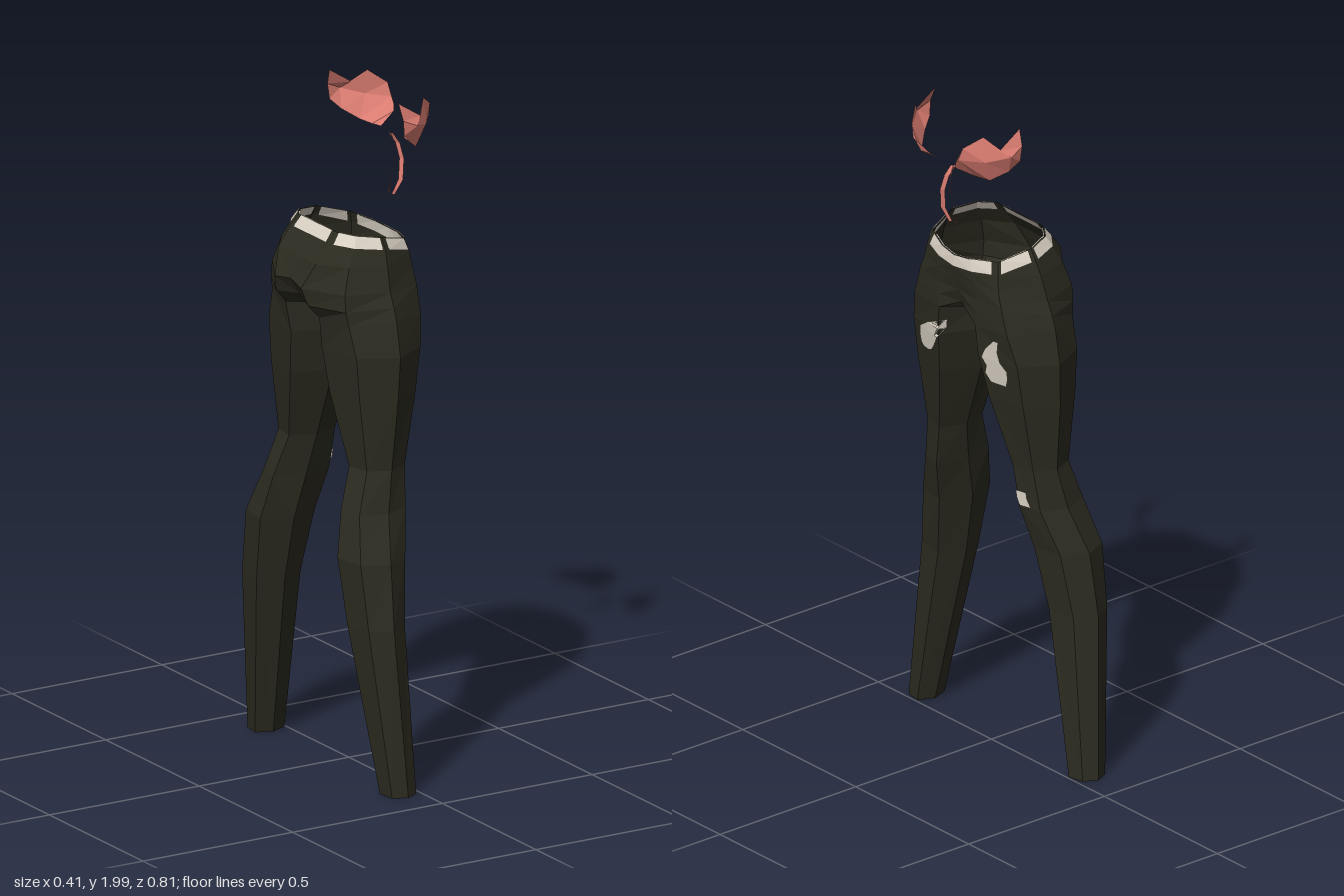
import * as THREE from 'three';

const mat = (name, color) => {
  const m = new THREE.MeshStandardMaterial({ color, side: THREE.DoubleSide, flatShading: true });
  m.name = name;
  return m;
};

// Faceted sheet from rows of [x, y, z] points; side -1 mirrors it across z.
function sheet(name, rows, material, side = 1) {
  const pos = [];
  const put = (...pts) => {
    if (side < 0) pts.reverse();
    pts.forEach(([x, y, z]) => pos.push(x, y, z * side));
  };
  for (let i = 0; i < rows.length - 1; i++) {
    for (let j = 0; j < rows[i].length - 1; j++) {
      const a = rows[i][j], b = rows[i][j + 1], c = rows[i + 1][j + 1], d = rows[i + 1][j];
      put(a, b, c);
      put(a, c, d);
    }
  }
  const g = new THREE.BufferGeometry();
  g.setAttribute('position', new THREE.Float32BufferAttribute(pos, 3));
  g.computeVertexNormals();
  const mesh = new THREE.Mesh(g, material);
  mesh.name = name;
  return mesh;
}

const mix = (a, b, t) => a.map((v, i) => v + (b[i] - v) * t);

// Half pelvis rings, front centre round to back centre, top to bottom
const pelvis = [
  [[.135, 1.565, 0], [.127, 1.57, .06], [.095, 1.58, .145], [0, 1.605, .175], [-.07, 1.615, .15], [-.105, 1.62, .1], [-.105, 1.62, 0]],
  [[.138, 1.53, 0], [.132, 1.535, .07], [.105, 1.545, .155], [0, 1.575, .195], [-.085, 1.585, .165], [-.128, 1.59, .105], [-.128, 1.59, 0]],
  [[.132, 1.5, 0], [.13, 1.5, .08], [.11, 1.5, .163], [-.005, 1.53, .215], [-.112, 1.535, .18], [-.172, 1.535, .1], [-.17, 1.535, 0]],
  [[.122, 1.45, 0], [.125, 1.45, .085], [.114, 1.45, .18], [-.01, 1.46, .238], [-.135, 1.46, .195], [-.204, 1.46, .07], [-.195, 1.47, 0]],
  [[.11, 1.41, 0], [.127, 1.41, .085], [.113, 1.41, .192], [-.01, 1.42, .258], [-.135, 1.41, .2], [-.19, 1.41, .085], [-.165, 1.42, 0]],
  [[.095, 1.39, 0], [.127, 1.37, .08], [.112, 1.37, .205], [-.01, 1.38, .272], [-.128, 1.37, .205], [-.155, 1.37, .09], [-.12, 1.385, 0]],
];
const hem = pelvis[5];
const innerThigh = [-.01, 1.37, .03];

// Leg ring: front inner, front outer, outer, back outer, back inner, inner
function legRing([y, front, back, outer, inner]) {
  const w = outer - inner, d = front - back, mid = (front + back) / 2;
  return [
    [front, y, inner + .22 * w], [front - .1 * d, y, outer - .24 * w], [mid, y, outer],
    [back + .08 * d, y, outer - .22 * w], [back, y, inner + .2 * w], [mid, y, inner],
  ];
}
const leg = [
  [...hem.slice(1, 6), innerThigh],
  ...[
    [1.28, .122, -.142, .292, .03],
    [1.15, .1, -.13, .287, .06],
    [.94, .056, -.1, .265, .135],
    [.82, .05, -.14, .285, .155],
    [.69, .017, -.167, .345, .172],
    [.5, -.008, -.157, .375, .21],
    [.01, -.006, -.105, .407, .315],
  ].map(legRing),
];

// x of the front of the leg at a given height and z
function frontX(y, z) {
  let i = 0;
  while (i < leg.length - 2 && leg[i + 1][0][1] > y) i++;
  const t = (leg[i][0][1] - y) / (leg[i][0][1] - leg[i + 1][0][1]);
  const p = [5, 0, 1, 2].map(k => mix(leg[i][k], leg[i + 1][k], t));
  let k = 0;
  while (k < 2 && p[k + 1][2] < z) k++;
  const u = (z - p[k][2]) / (p[k + 1][2] - p[k][2]);
  return p[k][0] + (p[k + 1][0] - p[k][0]) * u;
}

// Worn patch lying on the leg front, from rows of [y, inner z, outer z]
function patch(name, rows, material, side) {
  const pts = rows.map(([y, z0, z1]) => Array.from({ length: 7 }, (_, j) => {
    const z = z0 + (z1 - z0) * j / 6;
    return [frontX(y, z) + .006, y, z];
  }));
  return sheet(name, pts, material, side);
}

// Point on a waist ring at fractional column t
const along = (ring, t) => {
  const k = Math.min(Math.floor(t), ring.length - 2);
  return mix(ring[k], ring[k + 1], t - k);
};

export function createModel() {
  const model = new THREE.Group();
  model.name = 'trousersAndTop';
  const cloth = mat('dark olive cloth', 0x2c2b20);
  const cream = mat('cream', 0xd9d0c3);
  const pink = mat('coral pink', 0xdc7d72);

  for (const side of [1, -1]) {
    const label = side > 0 ? 'Left' : 'Right';
    model.add(sheet('hips' + label, pelvis, cloth, side));
    model.add(sheet('leg' + label, leg.map(r => [...r, r[0]]), cloth, side));
    model.add(sheet('crotch' + label, [[hem[1], innerThigh, hem[5]], [hem[0], [-.01, 1.385, 0], hem[6]]], cloth, side));

    // Belt pieces between the loops, outside and inside the waistband
    for (const [from, to] of [[0, 1.75], [2.08, 2.88], [3.1, 4.85], [5.2, 6]]) {
      const ts = [from];
      for (let t = Math.floor(from) + 1; t < to; t++) ts.push(t);
      ts.push(to);
      for (const s of [1.025, .975]) {
        const rows = [0, 1].map(r => ts.map(t => {
          const [x, y, z] = along(pelvis[r], t);
          return [x * s, y, z * s];
        }));
        model.add(sheet('belt' + label, rows, cream, side));
      }
    }

    // Curved chest cup, inner edge to outer edge
    model.add(sheet('cup' + label, [
      [[.203, 1.9, .085], [.2, 1.955, .113], [.155, 1.99, .15], [.125, 1.95, .185], [.05, 1.998, .185]],
      [[.197, 1.88, .075], [.205, 1.915, .1], [.157, 1.915, .163], [.1, 1.93, .208], [.055, 1.95, .203]],
      [[.145, 1.848, .06], [.14, 1.845, .1], [.13, 1.847, .15], [.09, 1.875, .185], [.06, 1.905, .2]],
    ], pink, side));

    // Hanging ribbon tie
    const tie = [[.14, 1.845, 0], [.158, 1.815, .008], [.165, 1.77, .018], [.158, 1.71, .024], [.14, 1.665, .012]];
    model.add(sheet('tie' + label, tie.map(([x, y, z], i) => {
      const w = i === 4 ? .002 : .006;
      return [[x - .004, y, z - w], [x + .004, y, z + w]];
    }), pink, side));
  }

  // Worn patches on the thighs and one knee
  model.add(patch('thighPatchLeft', [
    [1.325, .073, .085], [1.3, .075, .14], [1.27, .09, .185], [1.24, .11, .193], [1.215, .13, .19], [1.205, .15, .178],
  ], cream, 1));
  model.add(patch('thighPatchRight', [
    [1.345, .155, .172], [1.31, .12, .165], [1.28, .105, .172], [1.255, .12, .195], [1.23, .112, .193], [1.205, .13, .185],
  ], cream, -1));
  model.add(patch('kneePatchRight', [
    [.87, .178, .212], [.85, .18, .215], [.825, .19, .228],
  ], cream, -1));

  return model;
}
